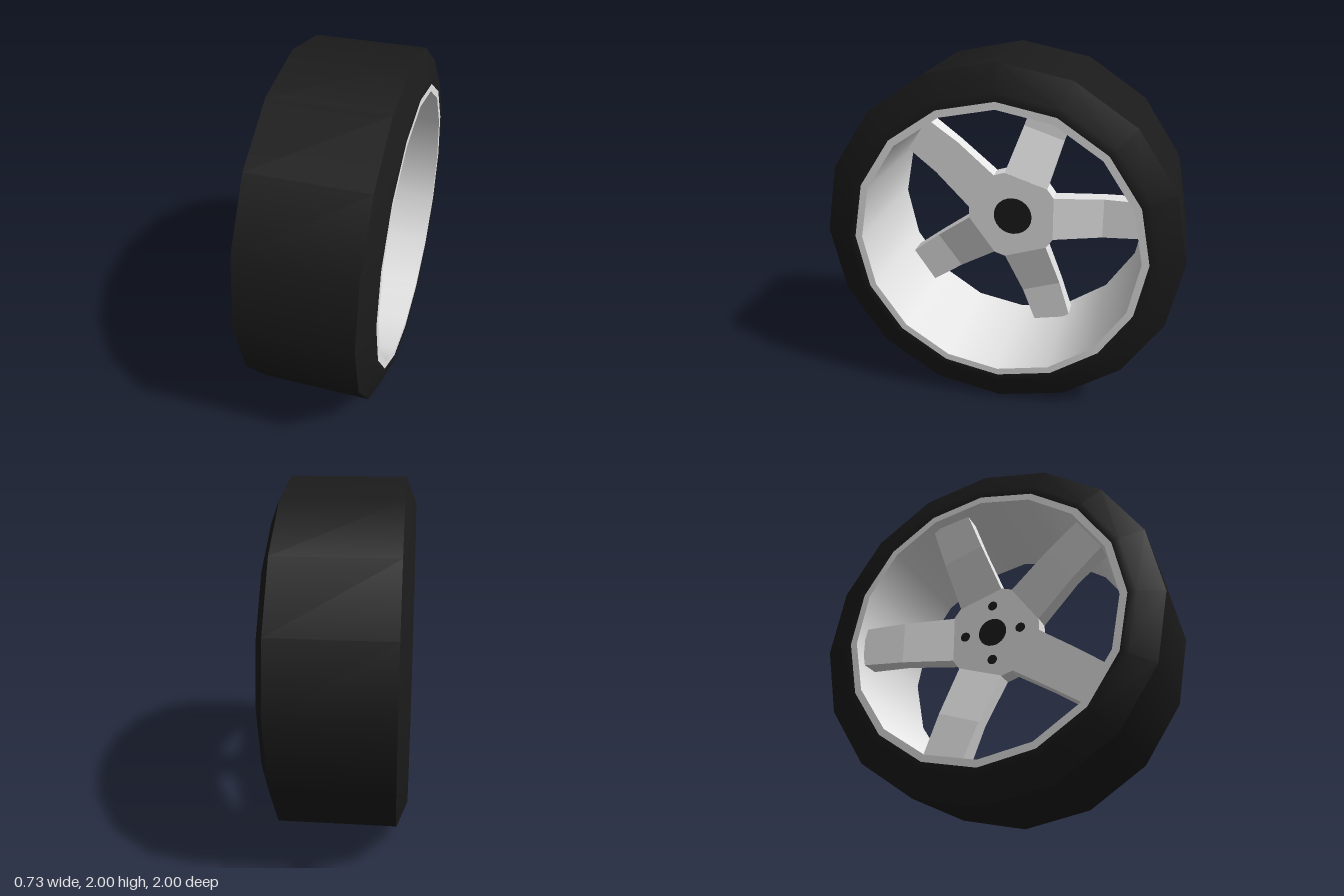
import * as THREE from 'three';

const silver = new THREE.MeshStandardMaterial({ color: 0xe5e5e5 });
silver.name = 'silver alloy';
const rubber = new THREE.MeshStandardMaterial({ color: 0x1b1b1b });
rubber.name = 'black rubber';

const SIDES = 16, HALF = 0.366;

// One smooth ring of the wheel, from [radius, x] points, turned about the x axis
function ring(name, points, material) {
  const geo = new THREE.LatheGeometry(points.map(([r, x]) => new THREE.Vector2(r, x)), SIDES);
  geo.rotateZ(-Math.PI / 2);
  const mesh = new THREE.Mesh(geo, material);
  mesh.name = name;
  return mesh;
}

function shapeOf(points) {
  return new THREE.Shape(points.map(([x, y]) => new THREE.Vector2(x, y)));
}

// Thin dark disc lying on a hub face; side is +1 (inner) or -1 (outer)
function disc(name, r, x, y, z, side) {
  const mesh = new THREE.Mesh(new THREE.CircleGeometry(r, 24), rubber);
  mesh.name = name;
  mesh.rotation.y = side * Math.PI / 2;
  mesh.position.set(x + side * 0.003, y, z);
  return mesh;
}

// Bent spoke, side profile in (x, radius), narrowing towards the rim
function spokeGeometry() {
  const r0 = 0.24, r1 = 0.775;
  const geo = new THREE.ExtrudeGeometry(shapeOf([
    [-0.2, r0], [-0.1, r0], [-0.18, 0.53], [-0.19, r1], [-0.3, r1], [-0.268, 0.53],
  ]), { depth: 2, bevelEnabled: false });
  geo.translate(0, 0, -1);
  const p = geo.attributes.position;
  for (let i = 0; i < p.count; i++) {
    const t = (p.getY(i) - r0) / (r1 - r0);
    p.setZ(i, p.getZ(i) * THREE.MathUtils.lerp(0.133, 0.115, t));
  }
  geo.computeVertexNormals();
  return geo;
}

export function createModel() {
  const model = new THREE.Group();
  model.name = 'wheel';

  // Wheel parts are built around the axle, which sits one radius above the ground
  const wheel = new THREE.Group();
  wheel.name = 'wheelOnAxle';
  wheel.position.y = 1;
  model.add(wheel);

  // Tyre: tread and two shouldered sidewalls
  const tyre = new THREE.Group();
  tyre.name = 'tyre';
  tyre.add(
    ring('tread', [[1, -0.31], [1, 0.31]], rubber),
    ring('innerSidewall', [[1, 0.31], [0.86, HALF], [0.815, HALF]], rubber),
    ring('outerSidewall', [[0.815, -HALF], [0.86, -HALF], [1, -0.31]], rubber),
  );

  // Rim: barrel and two flat lips
  const rim = new THREE.Group();
  rim.name = 'rim';
  rim.add(
    ring('innerLip', [[0.815, HALF], [0.775, HALF]], silver),
    ring('barrel', [[0.775, HALF], [0.775, -HALF]], silver),
    ring('outerLip', [[0.775, -HALF], [0.815, -HALF]], silver),
  );

  // Hub and spokes
  const centre = new THREE.Group();
  centre.name = 'hubAndSpokes';
  centre.position.z = 0.01;

  const corners = [];
  for (let k = 0; k < 5; k++) {
    for (const off of [-7, 7]) {
      const a = THREE.MathUtils.degToRad(36 + 72 * k + off);
      corners.push([0.277 * Math.cos(a), 0.277 * Math.sin(a)]);
    }
  }
  const hubGeo = new THREE.ExtrudeGeometry(shapeOf(corners), { depth: 0.1, bevelEnabled: false });
  hubGeo.rotateY(Math.PI / 2);
  hubGeo.translate(-0.2, 0, 0);
  const hub = new THREE.Mesh(hubGeo, silver);
  hub.name = 'hub';
  centre.add(hub);

  const spokeGeo = spokeGeometry();
  for (let k = 0; k < 5; k++) {
    const spoke = new THREE.Mesh(spokeGeo, silver);
    spoke.name = 'spoke';
    spoke.rotation.x = -Math.PI / 2 + k * Math.PI * 2 / 5;
    centre.add(spoke);
  }

  // Axle bore on both faces, four bolt holes on the outer face
  centre.add(disc('innerBore', 0.116, -0.1, 0, 0.003, 1));
  centre.add(disc('outerBore', 0.083, -0.2, 0, 0, -1));
  for (let k = 0; k < 4; k++) {
    const a = k * Math.PI / 2;
    centre.add(disc('boltHole', 0.028, -0.2, 0.167 * Math.sin(a), 0.167 * Math.cos(a), -1));
  }

  wheel.add(tyre, rim, centre);
  return model;
}
